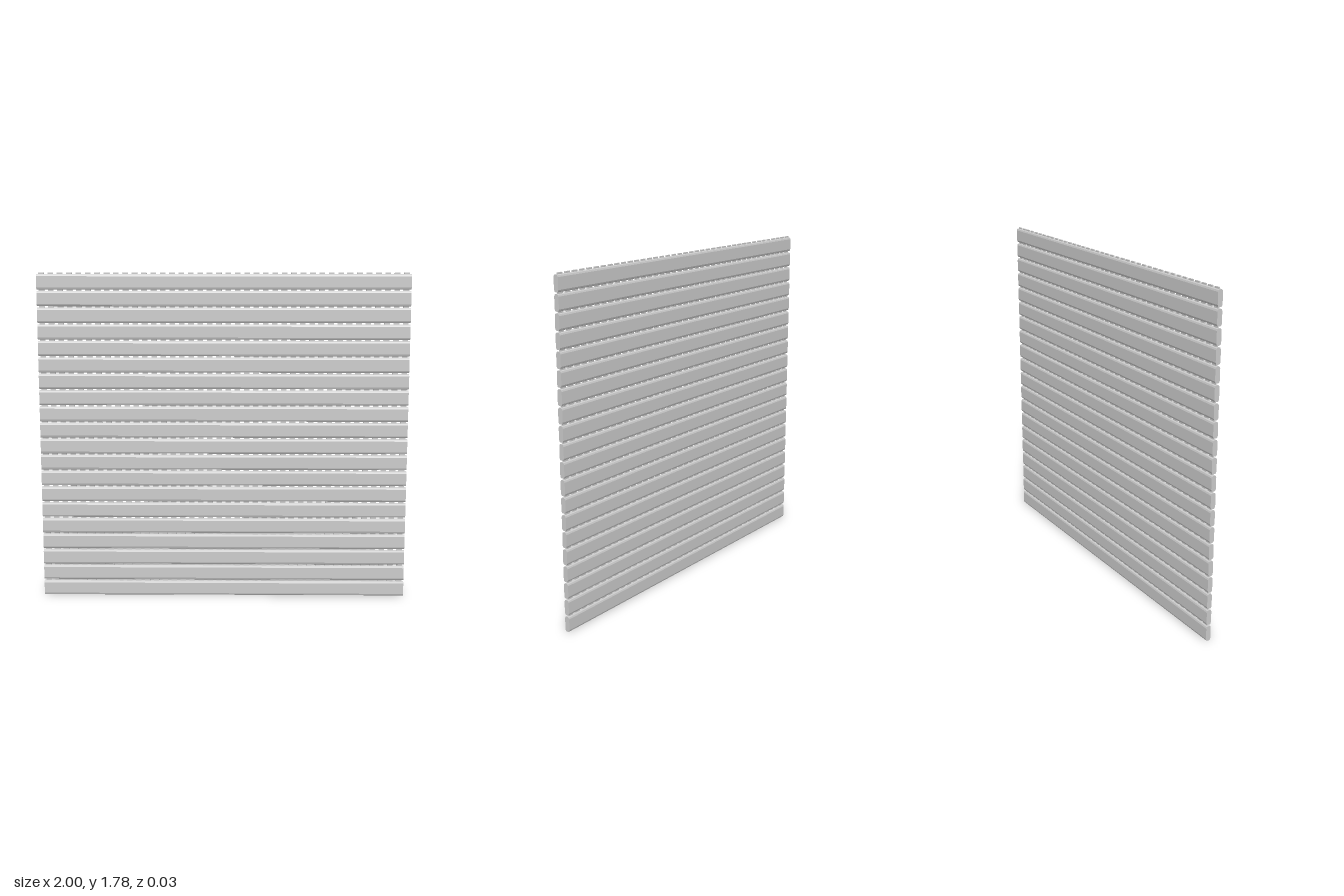
import * as THREE from 'three';
import { mergeGeometries } from 'three/addons/utils/BufferGeometryUtils.js';

const WIDTH = 2, SLATS = 20, PITCH = 0.089;
const BODY = 0.081, HALF = 0.0135;           // slat height and half thickness
const TEETH = 40, TOOTH_W = 0.03, TOOTH_D = 0.008;

// Slat body: softened rectangular section swept along x
function slatGeometry() {
  const side = [[0.006, 0], [0.0105, 0.003], [HALF, 0.011], [HALF, BODY - 0.011], [0.0105, BODY - 0.003], [0.006, BODY]];
  const points = [
    ...side.map(([z, y]) => new THREE.Vector2(z, y)),
    ...side.map(([z, y]) => new THREE.Vector2(-z, y)).reverse(),
  ];
  const geometry = new THREE.ExtrudeGeometry(new THREE.Shape(points), { depth: WIDTH, bevelEnabled: false });
  geometry.translate(0, 0, -WIDTH / 2);
  return geometry.rotateY(Math.PI / 2);
}

// Row of link tabs along the slat's top edge, leaving light slots between them
function tabGeometry() {
  const tabs = [];
  const step = WIDTH / TEETH, height = PITCH - BODY;
  for (let i = 0; i < TEETH; i++) {
    const tab = new THREE.BoxGeometry(TOOTH_W, height, TOOTH_D);
    tab.translate(-WIDTH / 2 + (i + 0.5) * step, BODY + height / 2, 0);
    tabs.push(tab);
  }
  return mergeGeometries(tabs);
}

export function createModel() {
  const shutter = new THREE.Group();
  shutter.name = 'rollerShutter';
  const material = new THREE.MeshStandardMaterial({ color: 0xcccccc });
  const bodyGeometry = slatGeometry();
  const linkGeometry = tabGeometry();

  // Stack of identical slats
  for (let i = 0; i < SLATS; i++) {
    const slat = new THREE.Group();
    slat.name = `slat${i + 1}`;
    const body = new THREE.Mesh(bodyGeometry, material);
    body.name = 'slatBody';
    const links = new THREE.Mesh(linkGeometry, material);
    links.name = 'linkTabs';
    slat.add(body, links);
    slat.position.y = i * PITCH;
    shutter.add(slat);
  }
  return shutter;
}
